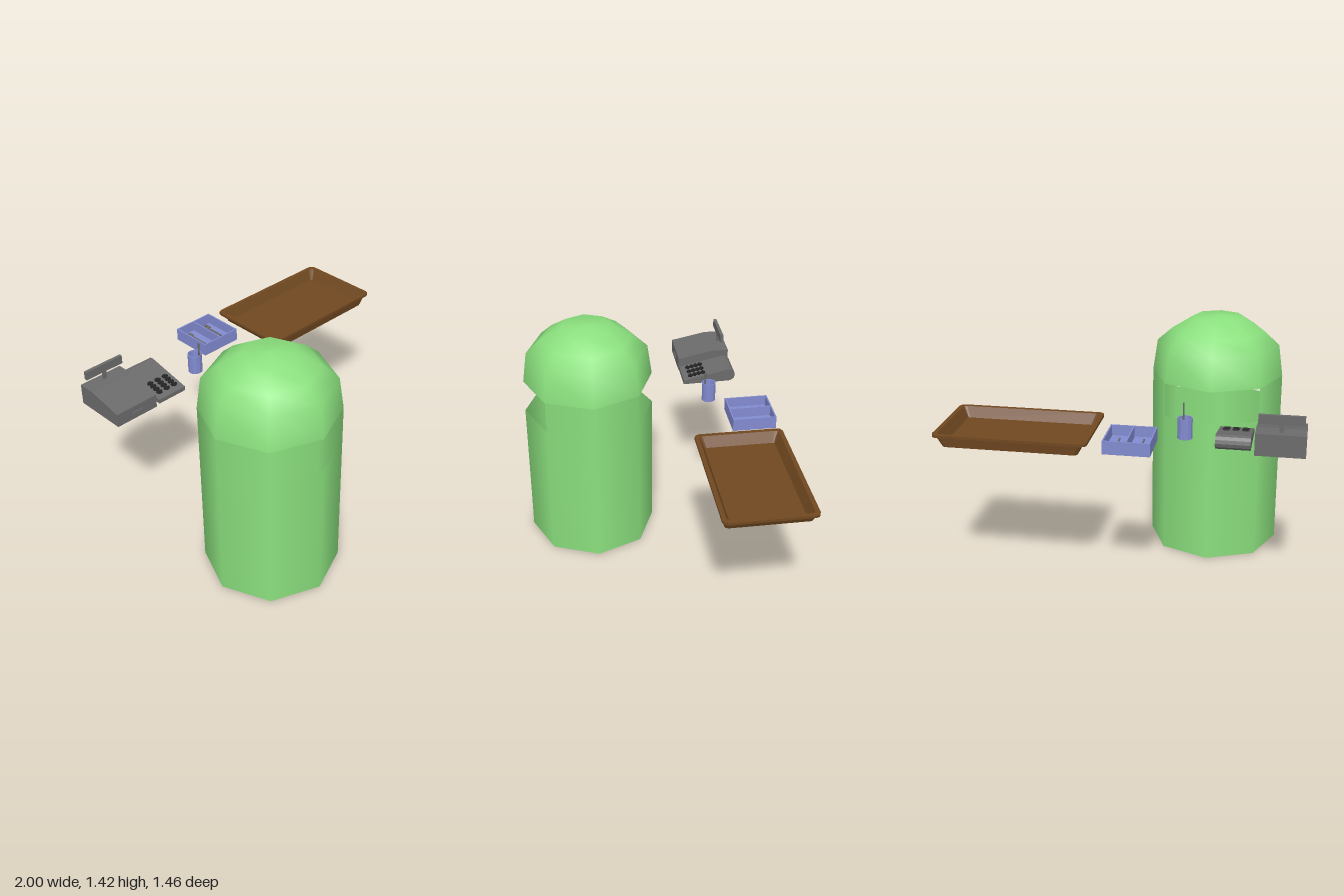
import * as THREE from 'three';

const mat = (name, color, side = THREE.FrontSide) => {
  const m = new THREE.MeshStandardMaterial({ color, side });
  m.name = name;
  return m;
};

export function createModel() {
  const root = new THREE.Group();
  const green = mat('bin green', 0x8be07e, THREE.DoubleSide);
  const brown = mat('tray brown', 0x704820);
  const blue = mat('container blue', 0x828bd0);
  const grey = mat('machine grey', 0x6b6b6b);
  const dark = mat('slot black', 0x222222);

  const add = (parent, name, geo, material, x = 0, y = 0, z = 0) => {
    const m = new THREE.Mesh(geo, material);
    m.name = name;
    m.position.set(x, y, z);
    parent.add(m);
    return m;
  };
  const group = (name, x = 0, y = 0, z = 0) => {
    const g = new THREE.Group();
    g.name = name;
    g.position.set(x, y, z);
    root.add(g);
    return g;
  };
  // box given by its minimum and maximum corners
  const box = (parent, name, material, a, b) => add(parent, name,
    new THREE.BoxGeometry(b[0] - a[0], b[1] - a[1], b[2] - a[2]), material,
    (a[0] + b[0]) / 2, (a[1] + b[1]) / 2, (a[2] + b[2]) / 2);
  const lathe = (pts, segs, start = 0, length = Math.PI * 2) =>
    new THREE.LatheGeometry(pts.map(p => new THREE.Vector2(...p)), segs, start, length);
  // side profile of [z, y] points, extruded from x0 to x1
  const sideProfile = (pts, x0, x1) => {
    const shape = new THREE.Shape(pts.map(p => new THREE.Vector2(...p)));
    const g = new THREE.ExtrudeGeometry(shape, { depth: x1 - x0, bevelEnabled: false });
    return g.rotateY(-Math.PI / 2).translate(x1, 0, 0);
  };

  // Litter bin: octagonal body, two side posts, domed lid
  const R = 0.392;
  const bin = group('litterBin', -0.438, 0, 0.333);
  add(bin, 'binBody', lathe([[R, 0], [R, 0.86]], 8), green);
  const base = new THREE.CircleGeometry(R, 8).rotateX(Math.PI / 2);
  add(bin, 'binBase', base, green);
  for (const side of [1, -1]) {
    const start = side * Math.PI / 2 - Math.PI / 4;
    add(bin, side > 0 ? 'leftPost' : 'rightPost',
      lathe([[R, 0.86], [R, 1.06]], 2, start, Math.PI / 2), green);
  }
  add(bin, 'binDome', lathe([[R, 1.06], [0.365, 1.25], [0.275, 1.33], [0.152, 1.408], [0, 1.423]], 8), green);

  // Serving tray: rounded rectangle loops [half width, half depth, corner, height]
  const loops = [
    [0.375, 0.236, 0.02, 0.887], [0.408, 0.246, 0.025, 0.945], [0.428, 0.258, 0.03, 0.945],
    [0.428, 0.258, 0.03, 0.96], [0.402, 0.233, 0.02, 0.96], [0.37, 0.205, 0.012, 0.9],
  ];
  const rings = loops.map(([hx, hz, r, y]) => {
    const ring = [];
    [[1, 1], [-1, 1], [-1, -1], [1, -1]].forEach(([sx, sz], c) => {
      for (let k = 0; k < 3; k++) {
        const a = (c + k / 2) * Math.PI / 2;
        ring.push([sx * (hx - r) + r * Math.cos(a), y, -(sz * (hz - r) + r * Math.sin(a))]);
      }
    });
    return ring;
  });
  const pos = [];
  const n = rings[0].length;
  const last = rings[rings.length - 1];
  for (let i = 0; i < n; i++) {
    const j = (i + 1) % n;
    for (let s = 0; s < rings.length - 1; s++) {
      const a = rings[s], b = rings[s + 1];
      pos.push(...a[i], ...a[j], ...b[j], ...a[i], ...b[j], ...b[i]);
    }
    pos.push(0, loops[0][3], 0, ...rings[0][j], ...rings[0][i]);
    pos.push(0, 0.9, 0, ...last[i], ...last[j]);
  }
  const trayGeo = new THREE.BufferGeometry();
  trayGeo.setAttribute('position', new THREE.Float32BufferAttribute(pos, 3));
  trayGeo.computeVertexNormals();
  add(root, 'servingTray', trayGeo, brown, 0.572, 0, -0.477);

  // Cutlery box with a divider, spoon and fork
  const cutlery = group('cutleryBox');
  const t = 0.008, x0 = -0.197, x1 = 0.06, z0 = -0.725, z1 = -0.468, lo = 0.91, hi = 0.985;
  box(cutlery, 'boxFloor', blue, [x0, lo, z0], [x1, 0.925, z1]);
  for (const x of [x0, (x0 + x1 - t) / 2, x1 - t])
    box(cutlery, 'boxSideWall', blue, [x, lo, z0], [x + t, hi, z1]);
  for (const z of [z0, z1 - t])
    box(cutlery, 'boxEndWall', blue, [x0, lo, z], [x1, hi, z + t]);
  const spoonBowl = add(cutlery, 'spoonBowl', new THREE.SphereGeometry(1, 10, 6), grey, -0.135, 0.935, -0.675);
  spoonBowl.scale.set(0.019, 0.006, 0.027);
  box(cutlery, 'spoonHandle', grey, [-0.139, 0.931, -0.655], [-0.131, 0.938, -0.54]);
  box(cutlery, 'forkHandle', grey, [-0.007, 0.931, -0.66], [0.001, 0.938, -0.54]);
  box(cutlery, 'forkHead', grey, [-0.021, 0.931, -0.675], [0.015, 0.938, -0.655]);
  for (const x of [-0.021, -0.006, 0.009])
    box(cutlery, 'forkTine', grey, [x, 0.931, -0.703], [x + 0.006, 0.938, -0.67]);

  // Cup holding a thin stick
  const cup = group('cup', -0.338, 0, -0.397);
  const wall = [[0, 0.905], [0.042, 0.905], [0.042, 1.022], [0.036, 1.022], [0.034, 0.925], [0, 0.925]];
  const cupGeo = lathe(wall, 12).toNonIndexed();
  cupGeo.computeVertexNormals();
  add(cup, 'cupBody', cupGeo, blue);
  add(cup, 'stick', new THREE.CylinderGeometry(0.005, 0.005, 0.18, 6), grey, 0.012, 1.01, 0.025);

  // Cash register with a raised display
  const register = group('cashRegister');
  add(register, 'registerBody', sideProfile(
    [[-0.275, 0.905], [-0.275, 0.985], [-0.49, 1.028], [-0.595, 1.028], [-0.595, 0.905]].reverse(),
    -1, -0.73), grey);
  box(register, 'drawerHandle', grey, [-0.9, 0.935, -0.277], [-0.83, 0.95, -0.268]);
  box(register, 'displayPole', grey, [-0.876, 1.02, -0.56], [-0.854, 1.08, -0.548]);
  box(register, 'display', grey, [-0.988, 1.075, -0.566], [-0.742, 1.125, -0.547]);

  // Sloping card terminal with a rounded back and three columns of keys
  const terminal = group('terminal');
  const profile = [[-0.275, 0.915], [-0.275, 0.94], [-0.55, 0.998]];
  for (let k = 0; k <= 6; k++) {
    const a = Math.PI / 2 + k * Math.PI / 6;
    profile.push([-0.56 + 0.04 * Math.cos(a), 0.96 + 0.04 * Math.sin(a)]);
  }
  add(terminal, 'terminalBody', sideProfile(profile.reverse(), -0.71, -0.522), grey);
  const keys = group('keys', -0.616, 0.9595, -0.3625);
  keys.rotation.x = 0.207;
  for (const x of [-0.053, 0, 0.053]) {
    add(keys, 'keyBar', new THREE.BoxGeometry(0.02, 0.008, 0.11), dark, x, 0, 0);
    for (const z of [-0.04, -0.013, 0.013, 0.04])
      add(keys, 'key', new THREE.BoxGeometry(0.036, 0.009, 0.014), dark, x, 0.001, z);
  }
  return root;
}
